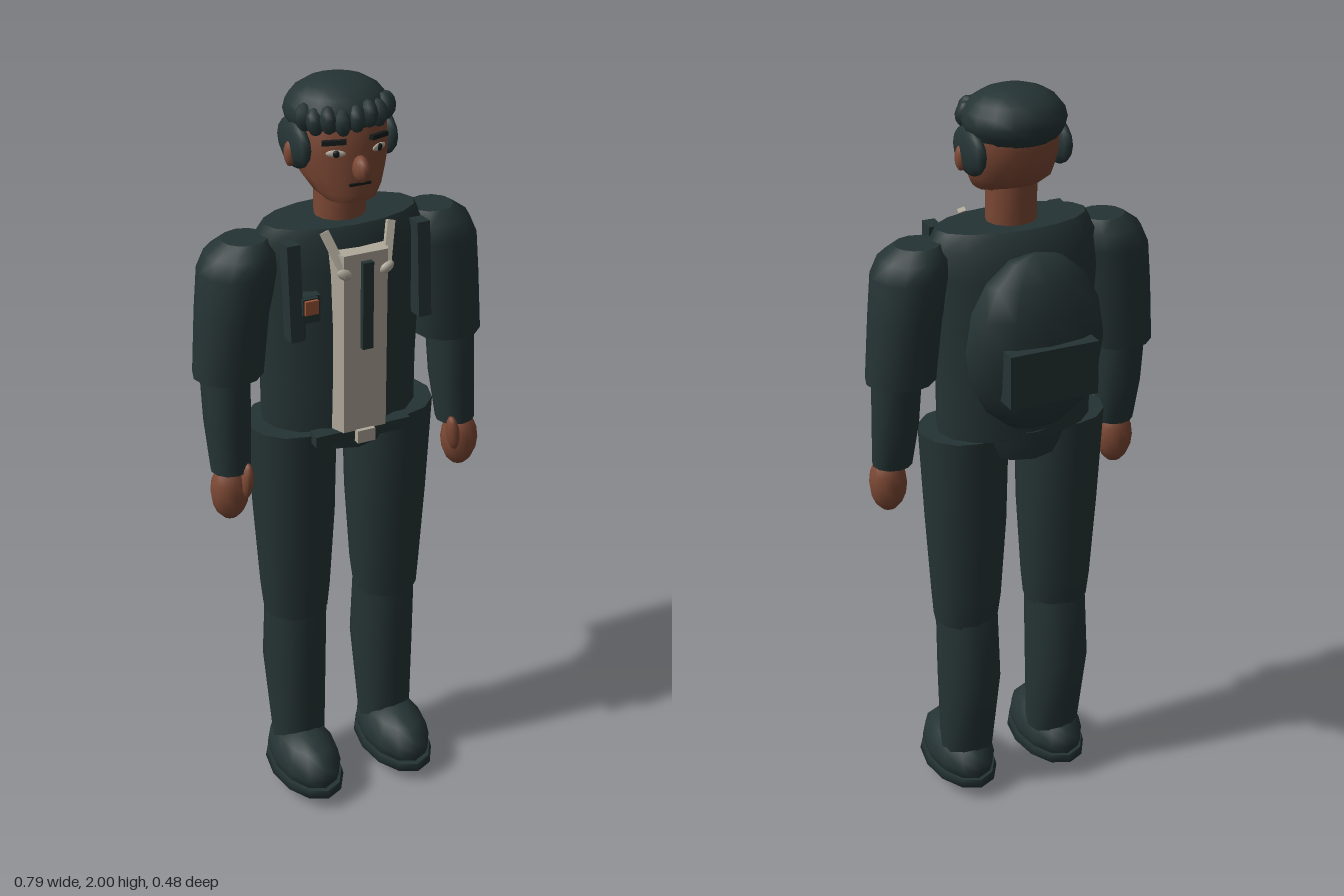
import * as THREE from 'three';

const mat = (name, color) => {
  const m = new THREE.MeshStandardMaterial({ color, side: THREE.DoubleSide });
  m.name = name;
  return m;
};

// Closed body through elliptical rings [y, rx, rz, cx, cz], listed bottom to top
function loft(rings, n = 12) {
  const pos = [], idx = [];
  const add = ([y, rx, rz, cx = 0, cz = 0], a) =>
    pos.push(cx + rx * Math.sin(a), y, cz + rz * Math.cos(a));
  const step = (Math.PI * 2) / n;
  rings.forEach((r) => { for (let i = 0; i < n; i++) add(r, i * step); });
  for (let j = 0; j < rings.length - 1; j++) {
    for (let i = 0; i < n; i++) {
      const a = j * n + i, b = j * n + (i + 1) % n;
      idx.push(a, b, b + n, a, b + n, a + n);
    }
  }
  // Caps have their own vertices so the rims stay sharp
  [rings[0], rings[rings.length - 1]].forEach((r, top) => {
    const s = pos.length / 3;
    for (let i = 0; i < n; i++) add(r, i * step);
    for (let i = 1; i < n - 1; i++) {
      if (top) idx.push(s, s + i, s + i + 1);
      else idx.push(s, s + i + 1, s + i);
    }
  });
  const g = new THREE.BufferGeometry();
  g.setAttribute('position', new THREE.Float32BufferAttribute(pos, 3));
  g.setIndex(idx);
  g.computeVertexNormals();
  return g;
}

export function createModel() {
  const model = new THREE.Group();
  model.name = 'standingFigure';
  const dark = mat('darkCloth', 0x253334);
  const skin = mat('brownSkin', 0x7c4834);
  const pale = mat('paleShirt', 0xb0a99b);
  const black = mat('blackDetail', 0x14191a);
  const orange = mat('orangeBadge', 0x9c5436);

  const put = (name, geo, m, p = [0, 0, 0], r = [0, 0, 0]) => {
    const mesh = new THREE.Mesh(geo, m);
    mesh.name = name;
    mesh.position.set(...p);
    mesh.rotation.set(...r);
    model.add(mesh);
    return mesh;
  };
  const box = (name, size, m, p, r) => put(name, new THREE.BoxGeometry(...size), m, p, r);
  const ball = (name, radii, m, p, r, w = 12, h = 8) =>
    put(name, new THREE.SphereGeometry(1, w, h).scale(...radii), m, p, r);

  // Jacket body and pelvis
  put('torso', loft([
    [1.12, 0.208, 0.135], [1.25, 0.208, 0.138], [1.42, 0.214, 0.138], [1.55, 0.225, 0.132],
    [1.62, 0.222, 0.118, 0, 0.005], [1.66, 0.2, 0.095, 0, 0.01],
  ], 16), dark);
  put('pelvis', loft([[1.06, 0.115, 0.13], [1.1, 0.14, 0.138], [1.14, 0.15, 0.14]]), dark);
  box('belt', [0.26, 0.03, 0.04], dark, [0, 1.115, 0.135]);
  box('buckle', [0.048, 0.035, 0.02], pale, [0, 1.115, 0.163]);

  // Shirt front with tapered sides, and tie
  const panel = new THREE.Shape([[-0.085, 0.1], [0.085, 0.1], [0.058, 0.162], [-0.058, 0.162]]
    .map(([x, z]) => new THREE.Vector2(x, -z)));
  put('shirtFront', new THREE.ExtrudeGeometry(panel, { depth: 0.48, bevelEnabled: false })
    .rotateX(-Math.PI / 2), pale, [0, 1.13, 0]);
  box('tie', [0.028, 0.23, 0.016], dark, [0, 1.475, 0.169]);

  // Neck and head
  put('neck', loft([[1.63, 0.065, 0.06, 0, 0.012], [1.76, 0.065, 0.06, 0, 0.01]]), skin);
  put('head', loft([
    [1.725, 0.062, 0.045, 0, 0.078], [1.745, 0.085, 0.08, 0, 0.048],
    [1.78, 0.105, 0.105, 0, 0.02], [1.84, 0.12, 0.112, 0, 0.01],
    [1.9, 0.118, 0.11, 0, 0.002], [1.95, 0.095, 0.09, 0, 0],
  ], 16), skin);
  ball('nose', [0.02, 0.033, 0.032], skin, [0, 1.81, 0.13]);
  box('mouth', [0.056, 0.006, 0.006], black, [0, 1.772, 0.126]);

  // Hair cap and fringe
  ball('hairCap', [0.13, 0.08, 0.122], dark, [0, 1.92, -0.006], [0, 0, 0], 16, 10);
  for (let i = -4; i <= 4; i++) {
    const a = i * 0.3;
    ball('fringeTuft', [0.022, 0.034, 0.026], dark,
      [0.112 * Math.sin(a), 1.925 + 0.006 * (i % 2), 0.01 + 0.092 * Math.cos(a)], [-0.2, a, 0], 8, 6);
  }

  // Backpack
  ball('backpack', [0.187, 0.235, 0.097], dark, [0, 1.385, -0.13]);
  box('backpackPocket', [0.236, 0.14, 0.06], dark, [0, 1.34, -0.213]);

  // Badge on the right chest
  box('badgePatch', [0.07, 0.07, 0.04], dark, [-0.143, 1.475, 0.115]);
  box('badge', [0.034, 0.036, 0.008], orange, [-0.138, 1.488, 0.15]);
  box('badgeBacking', [0.04, 0.042, 0.012], dark, [-0.138, 1.488, 0.14]);
  box('badgeClip', [0.04, 0.075, 0.03], dark, [-0.165, 1.435, 0.115]);

  // Mirrored parts
  for (const s of [-1, 1]) {
    const side = s > 0 ? 'left' : 'right';

    // Face
    ball(side + 'SideHair', [0.024, 0.06, 0.084], dark, [s * 0.113, 1.85, 0]);
    ball(side + 'Ear', [0.014, 0.032, 0.018], skin, [s * 0.131, 1.83, 0.014]);
    box(side + 'Brow', [0.058, 0.011, 0.012], black, [s * 0.058, 1.876, 0.105], [0, s * 0.45, s * -0.08]);
    ball(side + 'EyeWhite', [0.024, 0.009, 0.005], pale, [s * 0.056, 1.85, 0.11], [0, s * 0.45, 0]);
    ball(side + 'Iris', [0.009, 0.009, 0.005], black, [s * 0.056, 1.85, 0.113], [0, s * 0.45, 0]);

    // Collar and straps
    box(side + 'Collar', [0.02, 0.12, 0.014], pale, [s * 0.07, 1.608, 0.138], [-0.45, 0, s * -0.3]);
    ball(side + 'CollarTip', [0.022, 0.014, 0.012], pale, [s * 0.055, 1.562, 0.16], [0, 0, s * 0.5], 8, 6);
    box(side + 'Strap', [0.034, 0.245, 0.045], dark, [s * 0.172, 1.52, 0.112], [-0.08, 0, 0]);

    // Arm and hand
    put(side + 'UpperArm', loft([
      [1.285, 0.09, 0.085, s * 0.303, 0.01], [1.45, 0.092, 0.095, s * 0.288, 0.008],
      [1.56, 0.1, 0.1, s * 0.27, 0.008], [1.605, 0.09, 0.088, s * 0.26, 0.008],
      [1.635, 0.058, 0.055, s * 0.25, 0.008],
    ]), dark);
    put(side + 'Forearm', loft([
      [1.035, 0.052, 0.05, s * 0.318, 0.047], [1.16, 0.06, 0.062, s * 0.315, 0.025],
      [1.32, 0.063, 0.07, s * 0.312, 0.01],
    ]), dark);
    ball(side + 'Hand', [0.05, 0.08, 0.047], skin, [s * 0.327, 0.977, 0.058]);
    ball(side + 'Thumb', [0.017, 0.05, 0.022], skin, [s * 0.292, 1.01, 0.088], [0, 0, s * 0.12]);

    // Leg and shoe
    put(side + 'Thigh', loft([
      [0.55, 0.087, 0.085, s * 0.133, 0.017], [0.62, 0.094, 0.092, s * 0.132, 0.014],
      [0.85, 0.108, 0.107, s * 0.132, 0.012], [1.12, 0.118, 0.116, s * 0.136, 0.01],
    ]), dark);
    put(side + 'Shin', loft([
      [0.12, 0.073, 0.07, s * 0.132, 0.026], [0.37, 0.084, 0.096, s * 0.132, 0.002],
      [0.57, 0.084, 0.082, s * 0.131, 0.014],
    ]), dark);
    ball(side + 'ShoeUpper', [0.088, 0.085, 0.155], dark, [s * 0.137, 0.088, 0.073]);
    put(side + 'ShoeSole', loft([
      [0.002, 0.04, 0.07, s * 0.137, 0.075], [0.015, 0.07, 0.125, s * 0.137, 0.075],
      [0.04, 0.095, 0.163, s * 0.137, 0.075], [0.062, 0.09, 0.158, s * 0.137, 0.075],
    ]), dark);
  }

  return model;
}
